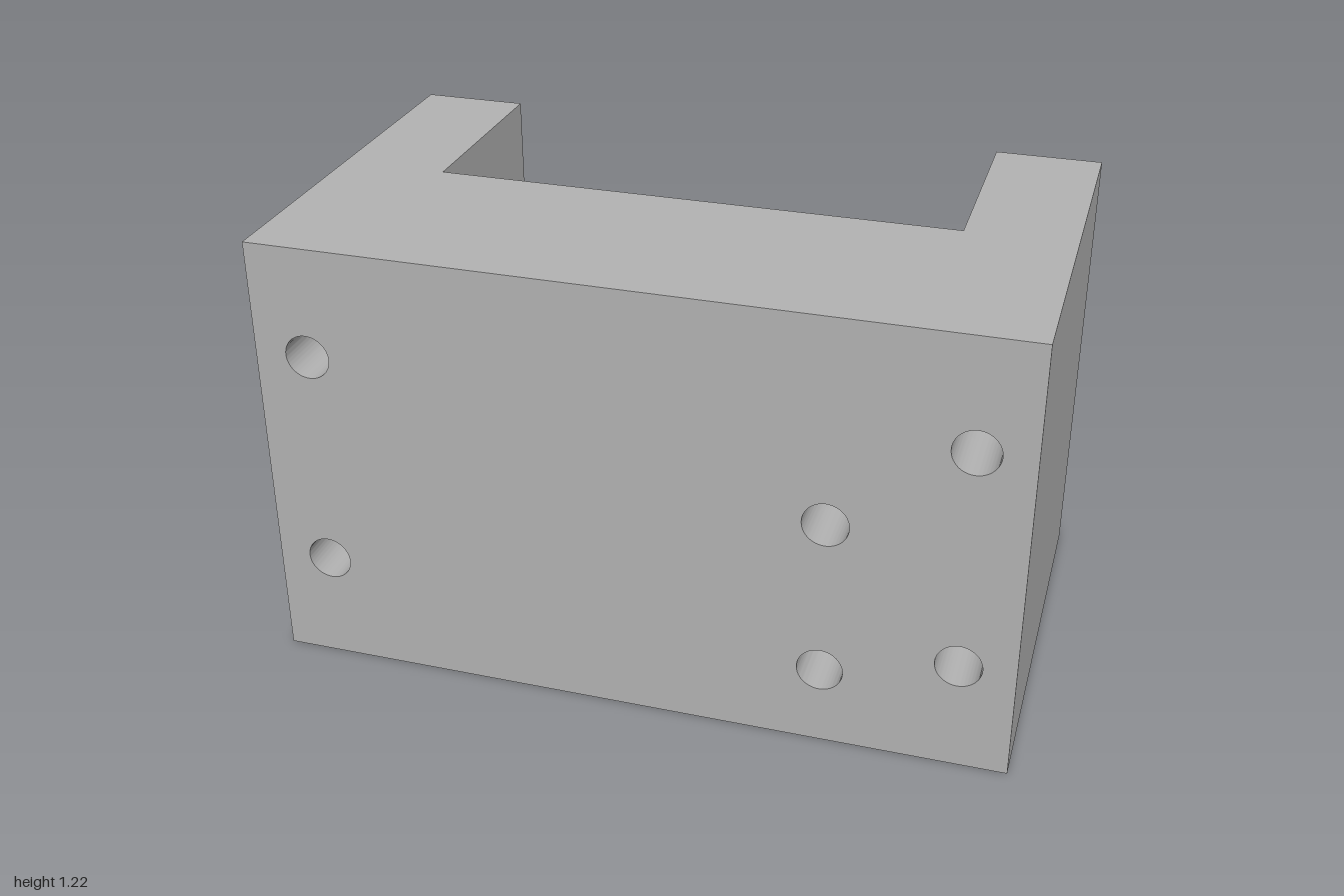
import * as THREE from 'three';
import { toCreasedNormals } from 'three/addons/utils/BufferGeometryUtils.js';

const HEIGHT = 1.217, CLAMP_H = 0.875, DEPTH = 0.58;
const LEG_X = 0.71, LUG_X = 0.65, SPLIT = 0.42; // SPLIT: where bored parts meet drilled parts
const BORE = 0.365, OUTER = 0.48, GAP = 0.03, HOLE = 0.06;
const LEG_HOLES = [[0.855, 0.305], [0.855, 0.915]];
const LUG_HOLES = [[0.505, 0.22], [0.505, 0.655]];

export function createModel() {
  const group = new THREE.Group();
  const grey = new THREE.MeshStandardMaterial({ color: 0xb2b2b2 });
  grey.name = 'grey';

  function add(name, geometry) {
    const mesh = new THREE.Mesh(geometry, grey);
    mesh.name = name;
    group.add(mesh);
  }

  function extrude(shape, depth) {
    return new THREE.ExtrudeGeometry(shape, { depth, bevelEnabled: false, curveSegments: 40 });
  }

  // Rectangular slab running along z, drilled with round holes
  function drilled(name, x0, x1, y0, y1, z0, z1, holes = []) {
    const shape = new THREE.Shape();
    shape.moveTo(x0, y0).lineTo(x1, y0).lineTo(x1, y1).lineTo(x0, y1).closePath();
    for (const [x, y] of holes) {
      shape.holes.push(new THREE.Path().absarc(x, y, HOLE, 0, Math.PI * 2, true));
    }
    add(name, toCreasedNormals(extrude(shape, z1 - z0).translate(0, 0, z0), 0.6));
  }

  // Plan outline (shape y = -z) raised from the ground
  function raised(name, shape) {
    add(name, toCreasedNormals(extrude(shape, CLAMP_H).rotateX(-Math.PI / 2), 0.6));
  }

  const mirror = (holes) => holes.map(([x, y]) => [-x, y]);

  // Front of the block with all six through holes
  drilled('frontPlate', -1, 1, 0, HEIGHT, SPLIT, DEPTH,
    [...LEG_HOLES, ...mirror(LEG_HOLES), ...LUG_HOLES]);

  // Side legs reaching back
  drilled('leftLeg', LEG_X, 1, 0, HEIGHT, -DEPTH, SPLIT, LEG_HOLES);
  drilled('rightLeg', -1, -LEG_X, 0, HEIGHT, -DEPTH, SPLIT, mirror(LEG_HOLES));

  // Solid bridge above the bore
  drilled('upperBridge', -LEG_X, LEG_X, CLAMP_H, HEIGHT, 0, SPLIT);

  // Front half of the bore, opening into the clamp slot
  const angle = Math.asin(GAP / BORE);
  const body = new THREE.Shape();
  body.moveTo(-LEG_X, 0).lineTo(-BORE, 0);
  body.absarc(0, 0, BORE, Math.PI, Math.PI * 2 - angle, false);
  body.lineTo(SPLIT, -GAP).lineTo(SPLIT, -SPLIT).lineTo(-LEG_X, -SPLIT).closePath();
  raised('boreBlock', body);

  // Drilled section facing the lug, and the lip ending the slot
  drilled('boltSeat', SPLIT, LEG_X, 0, CLAMP_H, GAP, SPLIT, LUG_HOLES);
  drilled('slotLip', LUG_X, LEG_X, 0, CLAMP_H, 0, GAP);

  // Rear clamp band around the bore
  const band = new THREE.Shape();
  band.moveTo(-OUTER, 0);
  band.absarc(0, 0, OUTER, Math.PI, Math.PI / 2, true);
  band.lineTo(SPLIT, OUTER).lineTo(SPLIT, GAP);
  band.absarc(0, 0, BORE, angle, Math.PI, false);
  band.closePath();
  raised('clampBand', band);

  // Drilled clamp lug
  drilled('clampLug', SPLIT, LUG_X, 0, CLAMP_H, -OUTER, -GAP, LUG_HOLES);

  return group;
}
